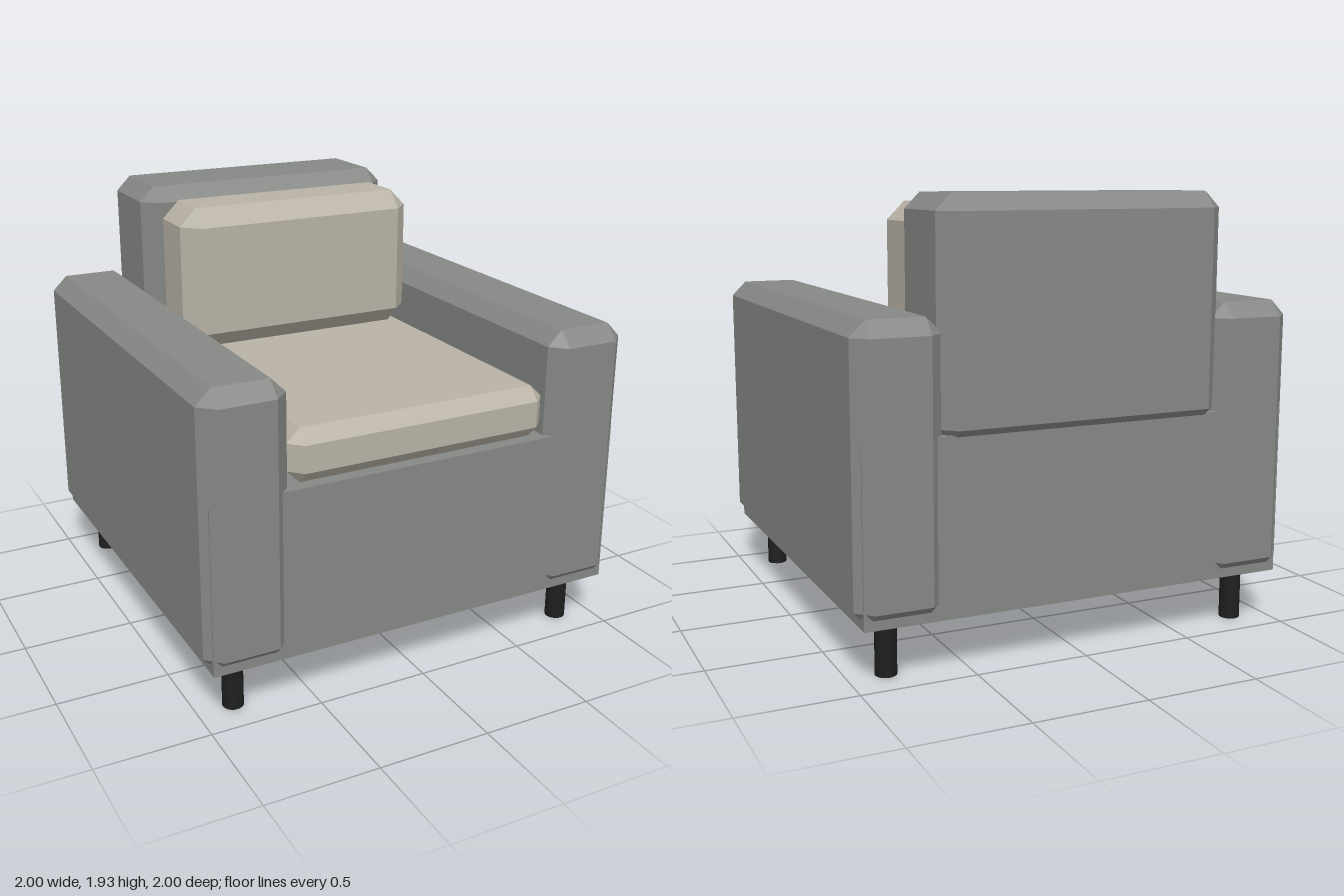
import * as THREE from 'three';
import { ConvexGeometry } from 'three/addons/geometries/ConvexGeometry.js';

// Box between two corners with every edge and corner cut at 45 degrees
function chamferedBox(min, max, c) {
  const center = min.map((v, i) => (v + max[i]) / 2);
  const half = max.map((v, i) => (v - min[i]) / 2);
  const points = [];
  for (const sx of [-1, 1]) for (const sy of [-1, 1]) for (const sz of [-1, 1]) {
    const s = [sx, sy, sz];
    // each corner becomes three points, one on each adjoining face
    for (let face = 0; face < 3; face++) {
      const p = s.map((sign, i) => center[i] + sign * (half[i] - (i === face ? 0 : c)));
      points.push(new THREE.Vector3(...p));
    }
  }
  return new ConvexGeometry(points);
}

export function createModel() {
  const greyFabric = new THREE.MeshStandardMaterial({ color: 0x858884 });
  greyFabric.name = 'grey fabric';
  const beigeFabric = new THREE.MeshStandardMaterial({ color: 0xb9b3a6 });
  beigeFabric.name = 'beige fabric';
  const blackLegs = new THREE.MeshStandardMaterial({ color: 0x1e1f1f });
  blackLegs.name = 'black legs';

  const model = new THREE.Group();
  model.name = 'armchair';
  const add = (name, geometry, material, x = 0, y = 0, z = 0) => {
    const mesh = new THREE.Mesh(geometry, material);
    mesh.name = name;
    mesh.position.set(x, y, z);
    model.add(mesh);
  };

  // Plain box base, its corners just showing through the arm chamfers
  add('base', new THREE.BoxGeometry(1.94, 0.75, 1.94), greyFabric, 0, 0.615, 0);

  // Arms
  add('leftArm', chamferedBox([0.62, 0.245, -1], [1, 1.46, 1], 0.067), greyFabric);
  add('rightArm', chamferedBox([-1, 0.245, -1], [-0.62, 1.46, 1], 0.067), greyFabric);

  // Backrest and cushions
  add('backrest', chamferedBox([-0.645, 0.945, -1], [0.645, 1.93, -0.53], 0.068), greyFabric);
  add('seatCushion', chamferedBox([-0.612, 0.992, -0.54], [0.612, 1.225, 0.97], 0.057), beigeFabric);
  add('backCushion', chamferedBox([-0.588, 1.226, -0.53], [0.588, 1.885, -0.155], 0.08), beigeFabric);

  // Four round legs
  const legGeometry = new THREE.CylinderGeometry(0.046, 0.046, 0.24, 20);
  for (const [side, x] of [['Left', 0.835], ['Right', -0.835]]) {
    for (const [end, z] of [['front', 0.835], ['back', -0.835]]) {
      add(`${end}${side}Leg`, legGeometry, blackLegs, x, 0.12, z);
    }
  }
  return model;
}
